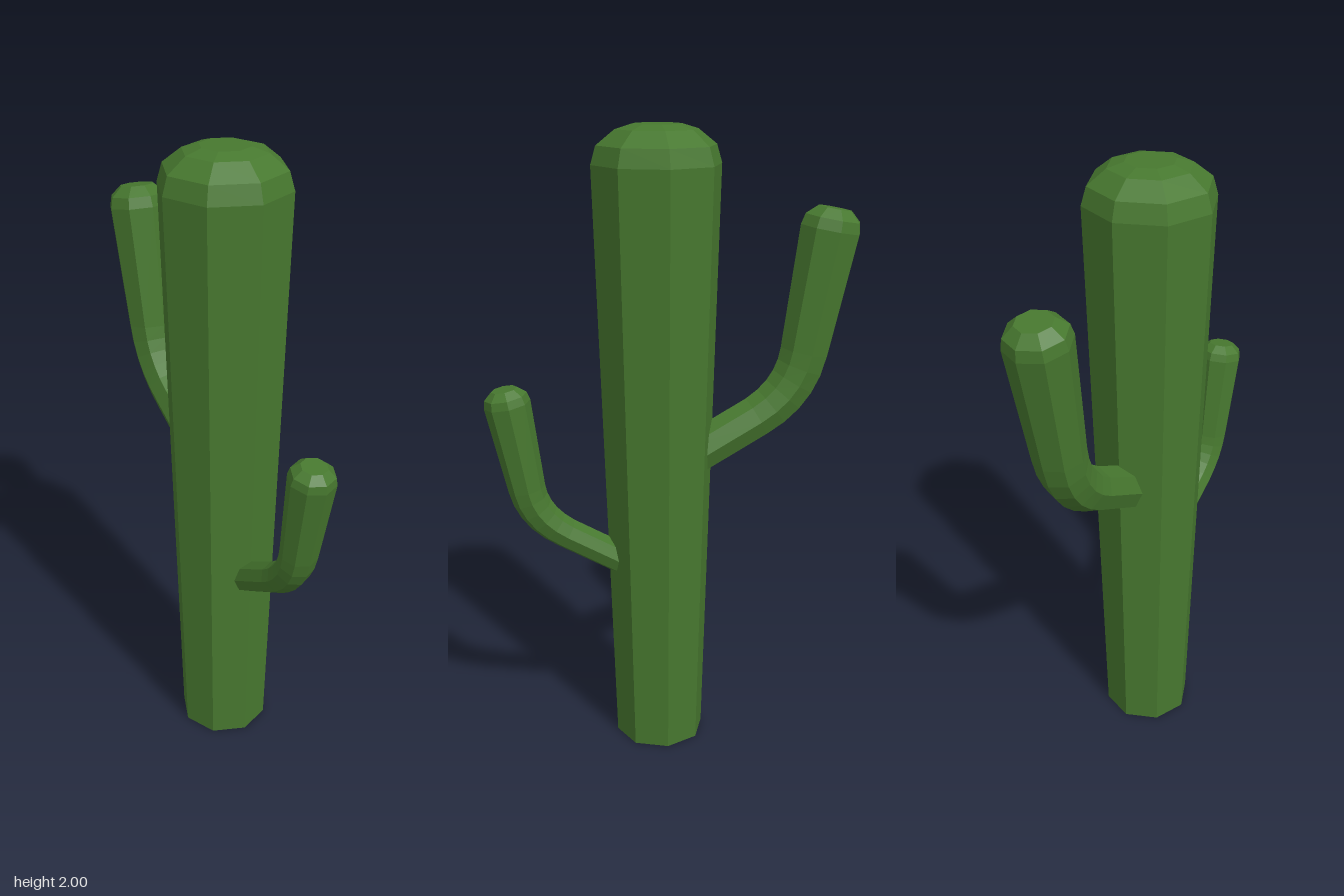
import * as THREE from 'three';

const SIDES = 8;
const green = new THREE.MeshStandardMaterial({ color: 0x47782f, flatShading: true });

// Lofts octagonal rings along a path in the XY plane; each ring is { p, t, r }.
function loft(rings) {
  const pos = [], idx = [];
  rings.forEach(({ p, t, r }) => {
    for (let i = 0; i < SIDES; i++) {
      const a = (i / SIDES) * Math.PI * 2;
      const across = Math.cos(a) * r;
      pos.push(p.x + t.y * across, p.y - t.x * across, Math.sin(a) * r);
    }
  });
  for (let k = 0; k < rings.length - 1; k++) {
    for (let i = 0; i < SIDES; i++) {
      const a = k * SIDES + i, b = k * SIDES + ((i + 1) % SIDES);
      idx.push(a, a + SIDES, b, b, a + SIDES, b + SIDES);
    }
  }
  // close both ends
  [0, rings.length - 1].forEach((k) => {
    const c = pos.length / 3, { p } = rings[k];
    pos.push(p.x, p.y, 0);
    for (let i = 0; i < SIDES; i++) {
      const a = k * SIDES + i, b = k * SIDES + ((i + 1) % SIDES);
      if (k === 0) idx.push(c, a, b);
      else idx.push(c, b, a);
    }
  });
  const geo = new THREE.BufferGeometry();
  geo.setAttribute('position', new THREE.Float32BufferAttribute(pos, 3));
  geo.setIndex(idx);
  geo.computeVertexNormals();
  return geo;
}

// An arm: straight out of the trunk, a rounded elbow, then up to a domed tip.
function arm(name, [base, bendIn, corner, bendOut, tip], r0, rBend, r1, angle) {
  const v = ([x, y]) => new THREE.Vector2(x, y);
  const lower = v(bendIn).sub(v(base)).normalize();
  const upper = v(tip).sub(v(bendOut)).normalize();
  const rings = [{ p: v(base), t: lower, r: r0 }];
  const elbow = new THREE.QuadraticBezierCurve(v(bendIn), v(corner), v(bendOut));
  for (let i = 0; i <= 5; i++) {
    const s = i / 5;
    rings.push({ p: elbow.getPoint(s), t: elbow.getTangent(s), r: THREE.MathUtils.lerp(r0, rBend, s) });
  }
  // domed tip
  [[1, -0.7], [0.92, -0.35], [0.56, -0.04]].forEach(([k, d]) => {
    rings.push({ p: v(tip).addScaledVector(upper, d * r1), t: upper, r: r1 * k });
  });
  const mesh = new THREE.Mesh(loft(rings), green);
  mesh.name = name;
  mesh.rotation.y = angle;
  return mesh;
}

export function createModel() {
  const group = new THREE.Group();
  group.name = 'cactus';

  // trunk, widening upward to a rounded crown
  const profile = [[0, 0], [0.145, 0], [0.198, 1.885], [0.182, 1.94], [0.125, 1.985], [0.075, 2], [0, 2]];
  const trunk = new THREE.Mesh(
    new THREE.LatheGeometry(profile.map(([x, y]) => new THREE.Vector2(x, y)), SIDES), green);
  trunk.name = 'trunk';
  trunk.position.set(0.038, 0, 0.03);
  trunk.rotation.y = THREE.MathUtils.degToRad(11.4);
  group.add(trunk);

  // two arms on opposite sides
  group.add(arm('largeArm',
    [[0.06, 0.975], [0.27, 1.09], [0.4, 1.165], [0.425, 1.3], [0.508, 1.748]],
    0.071, 0.08, 0.098, Math.PI - 0.59));
  group.add(arm('smallArm',
    [[0.072, 0.575], [0.349, 0.74], [0.451, 0.803], [0.469, 0.9], [0.527, 1.228]],
    0.05, 0.058, 0.072, -0.59));
  return group;
}
